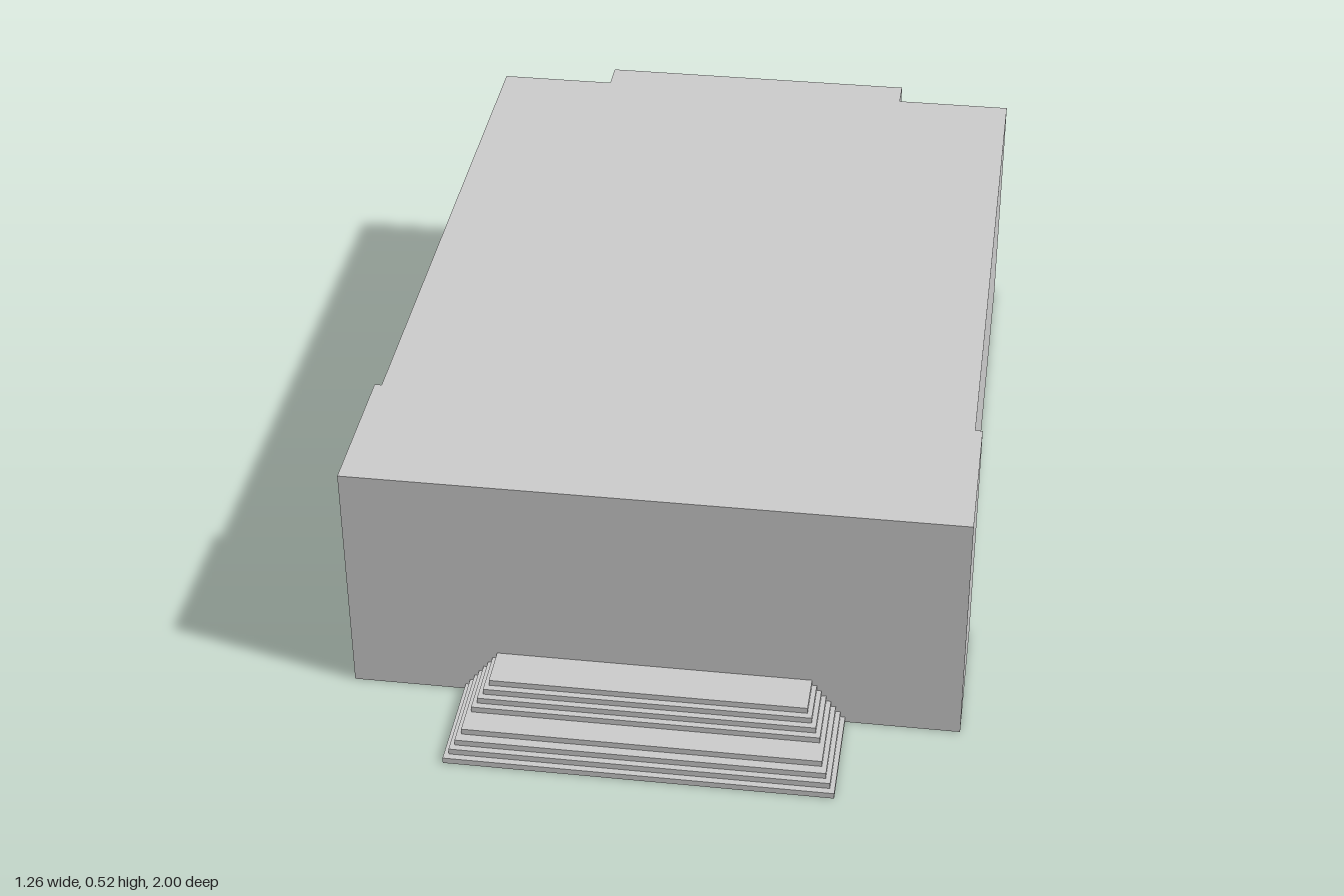
import * as THREE from 'three';

const material = new THREE.MeshStandardMaterial({ color: 0xcccccc, flatShading: true });

const HEIGHT = 0.524;
const FRONT = 0.767;

// Main block: one stepped plan, mirrored about x = 0 and extruded upwards
function createBody() {
  const half = [[0.632, FRONT], [0.632, 0.44], [0.617, 0.44], [0.617, -0.93], [0.357, -0.93], [0.357, -1]];
  const mirrored = half.map(([x, z]) => [-x, z]).reverse();
  const plan = new THREE.Shape([...half, ...mirrored].map(([x, z]) => new THREE.Vector2(x, -z)));
  const geometry = new THREE.ExtrudeGeometry(plan, { depth: HEIGHT, bevelEnabled: false });
  geometry.rotateX(-Math.PI / 2);
  const body = new THREE.Mesh(geometry, material);
  body.name = 'buildingBody';
  return body;
}

// Entrance stairs: two flights of four treads with a landing between them
function createStairs() {
  const stairs = new THREE.Group();
  stairs.name = 'entranceStairs';
  const edges = [1, 0.986, 0.972, 0.952, 0.897, 0.883, 0.869, 0.855];
  const rise = 0.103 / edges.length;
  edges.forEach((edge, i) => {
    const depth = edge - FRONT;
    const step = new THREE.Mesh(new THREE.BoxGeometry(2 * (0.396 - i * 0.01), rise, depth), material);
    step.position.set(0, (i + 0.5) * rise, FRONT + depth / 2);
    step.name = `step${i + 1}`;
    stairs.add(step);
  });
  return stairs;
}

export function createModel() {
  const model = new THREE.Group();
  model.name = 'building';
  model.add(createBody(), createStairs());
  return model;
}
